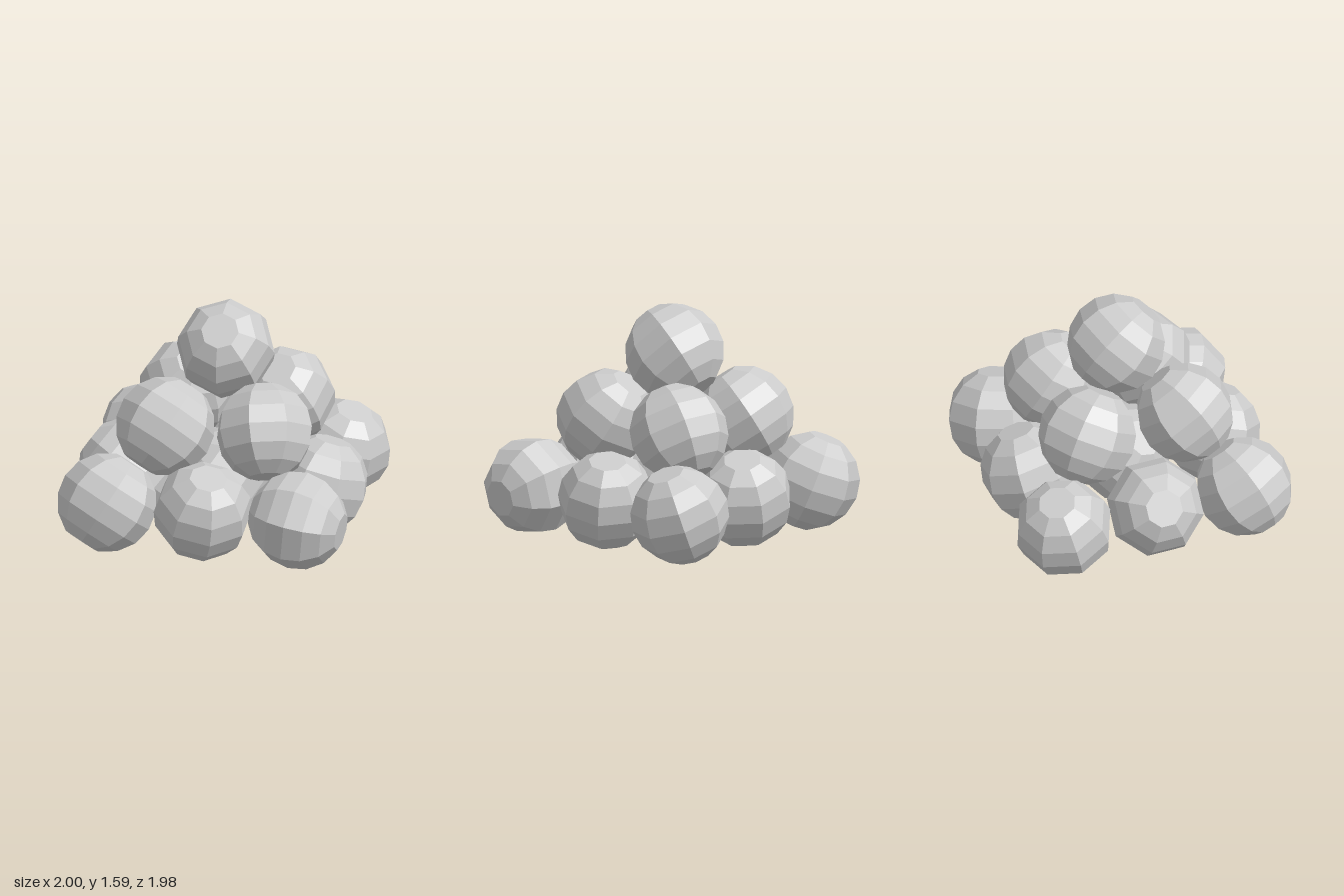
import * as THREE from 'three';

const R = 0.337;

// Eight-sided faceted ball whose two poles are cut into flat octagons
function facetedBall() {
  const geo = new THREE.SphereGeometry(R, 8, 8);
  const pos = geo.attributes.position;
  const cap = R * Math.cos(Math.PI / 8);
  for (let i = 0; i < pos.count; i++) {
    pos.setY(i, THREE.MathUtils.clamp(pos.getY(i), -cap, cap));
  }
  return geo;
}

// Each ball: centre x, z, direction of its pole, direction one meridian faces
const layers = [
  { name: 'bottomLayerBall', y: 0.335, balls: [
    [-0.665, 0.64, [-0.46, -0.77, 0.4], [0.055, 0.09, 0.32]],
    [0, 0.65, [0.2, 0.92, 0.33], [-0.096, 0.055, 0.31]],
    [0.66, 0.66, [0.98, -0.14, 0.11], [0.014, 0.07, 0.33]],
    [-0.665, 0, [-0.82, 0.55, -0.1], [0.06, 0.3, -0.14]],
    [0, 0, [0.62, -0.71, -0.3], [0, 1, 0]],
    [0.665, 0, [0.235, 0.95, -0.22], [0.32, 0.075, 0.053]],
    [-0.665, -0.66, [-0.27, 0.925, -0.26], [0, 0, -1]],
    [0.01, -0.65, [0.29, 0.93, -0.22], [-0.21, 0.2, -0.17]],
    [0.665, -0.65, [0.32, 0.94, 0.13], [0.32, 0.05, 0.01]],
  ] },
  { name: 'middleLayerBall', y: 0.803, balls: [
    [-0.33, 0.34, [0.45, 0.735, -0.5], [0.01, 0, 0.33]],
    [0.345, 0.29, [-0.18, 0.82, -0.54], [-0.024, 0.095, 0.32]],
    [-0.33, -0.365, [0.27, 0.83, 0.49], [-0.7, 0.42, -0.5]],
    [0.345, -0.365, [-0.08, 0.84, 0.54], [0.32, 0.05, -0.03]],
  ] },
  { name: 'topBall', y: 1.25, balls: [
    [0.005, -0.03, [0.03, 0.7, 0.71], [1, 0, 0]],
  ] },
];

export function createModel() {
  const group = new THREE.Group();
  group.name = 'ballPyramid';
  const geo = facetedBall();
  const mat = new THREE.MeshStandardMaterial({ color: 0xcccccc, flatShading: true });

  for (const { name, y, balls } of layers) {
    balls.forEach(([x, z, pole, meridian], i) => {
      const ball = new THREE.Mesh(geo, mat);
      ball.name = balls.length > 1 ? name + (i + 1) : name;
      ball.position.set(x, y, z);
      // Turn the ball so its pole and one meridian face the given directions
      const up = new THREE.Vector3(...pole).normalize();
      const side = new THREE.Vector3(...meridian).projectOnPlane(up).normalize();
      const third = new THREE.Vector3().crossVectors(side, up);
      ball.quaternion.setFromRotationMatrix(new THREE.Matrix4().makeBasis(side, up, third));
      group.add(ball);
    });
  }
  return group;
}
